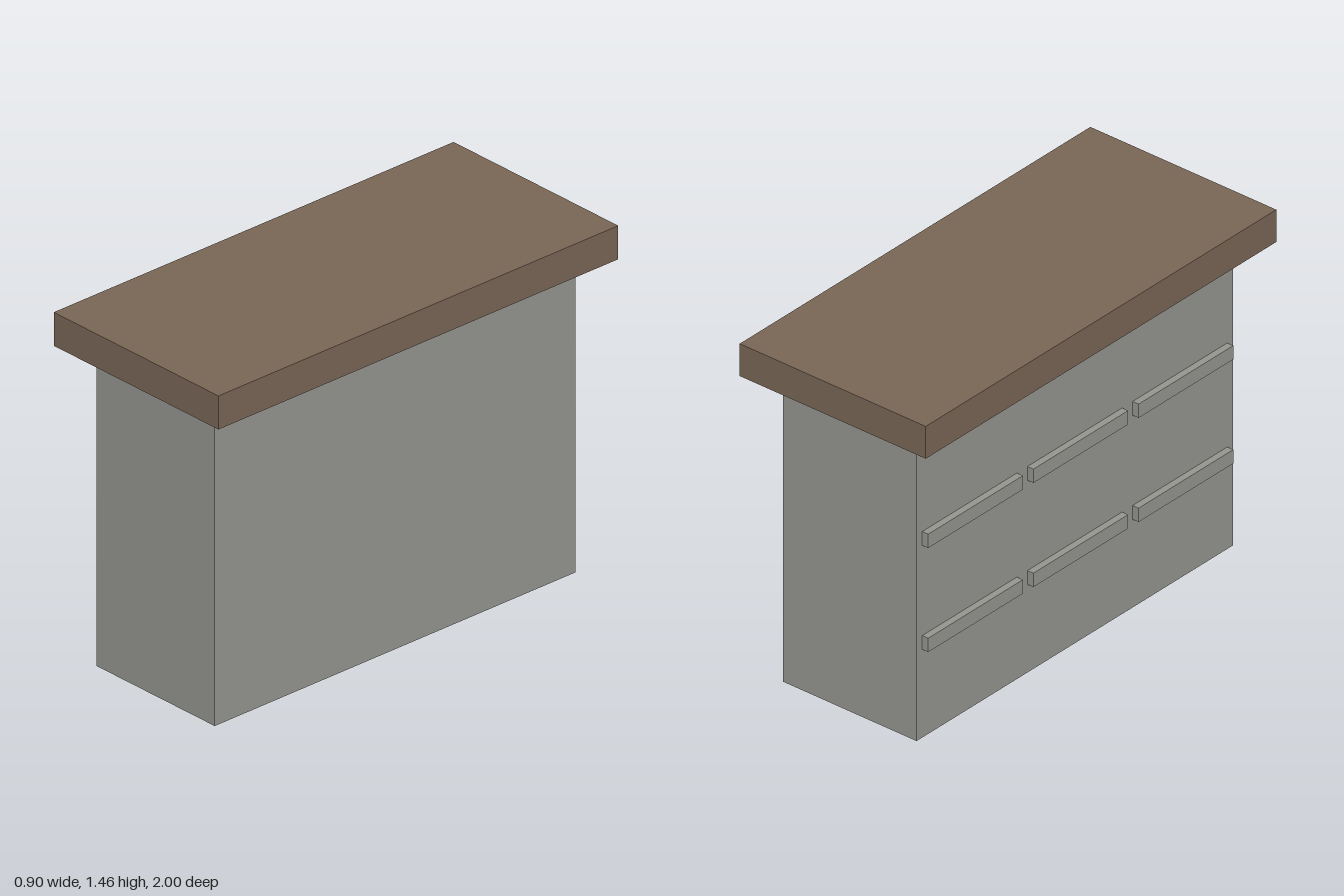
import * as THREE from 'three';

const stone = new THREE.MeshStandardMaterial({ name: 'grey paint', color: 0x959690 });
const wood = new THREE.MeshStandardMaterial({ name: 'brown wood', color: 0x796656 });

// Box given by its size, the height of its underside and its centre in x and z
function box(name, material, [w, h, d], bottom, x = 0, z = 0) {
  const mesh = new THREE.Mesh(new THREE.BoxGeometry(w, h, d), material);
  mesh.name = name;
  mesh.position.set(x, bottom + h / 2, z);
  return mesh;
}

export function createModel() {
  const model = new THREE.Group();
  model.name = 'drawerCounter';

  // Cabinet body and overhanging worktop
  model.add(box('cabinet', stone, [0.646, 1.32, 1.805], 0));
  model.add(box('worktop', wood, [0.9, 0.14, 2], 1.32));

  // Three rows of three bar handles on the right side; the top row tucks under the worktop
  const handles = new THREE.Group();
  handles.name = 'handles';
  for (const y of [0.382, 0.833, 1.283]) {
    for (const z of [-0.6, 0, 0.6]) {
      handles.add(box('handle', stone, [0.04, 0.06, 0.54], y, -0.332, z));
    }
  }
  model.add(handles);

  return model;
}
